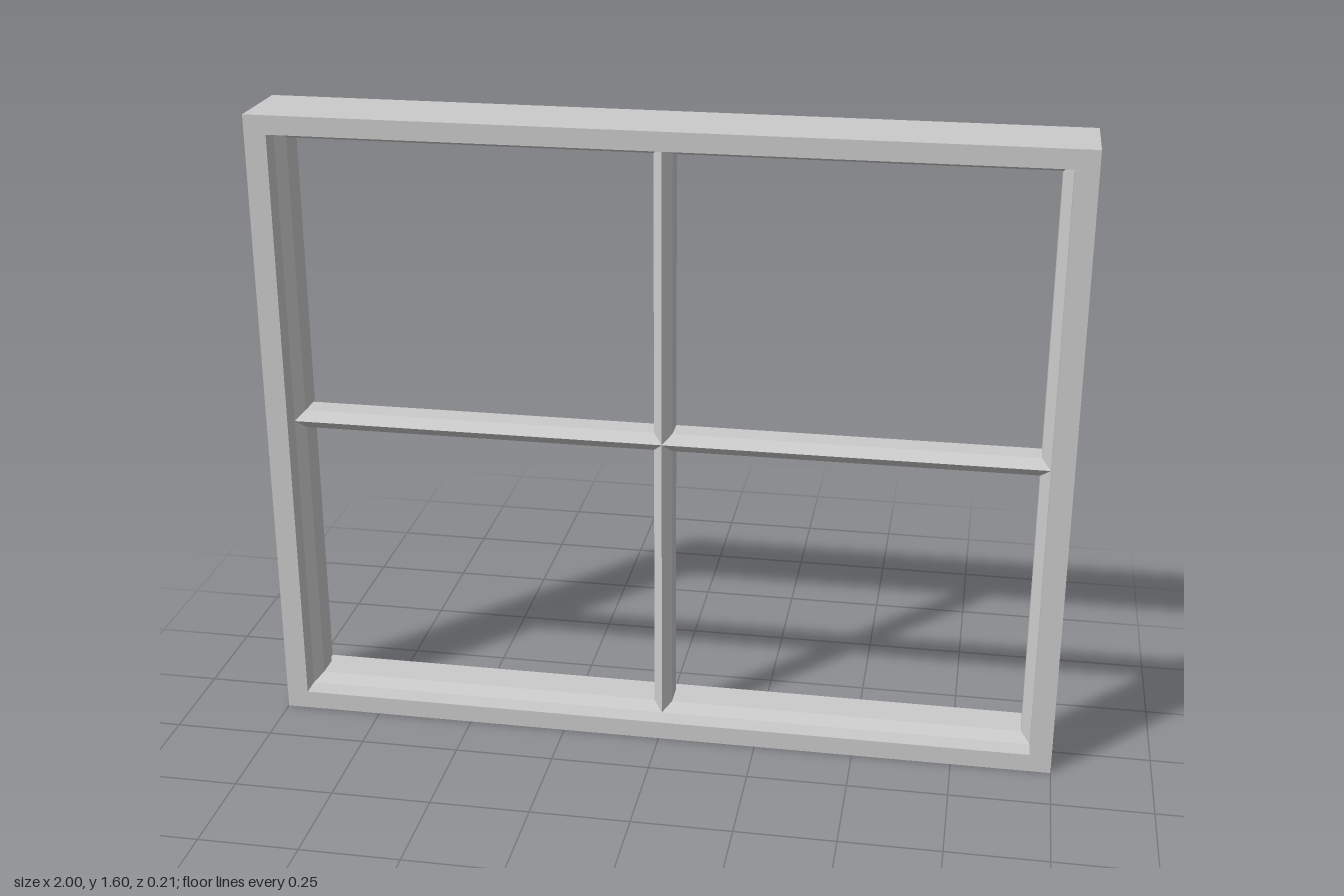
import * as THREE from 'three';

const W = 1, H = 0.8, D = 0.104;      // half width, half height, half depth
const TX = 0.055, TY = 0.047;         // frame thickness at the sides, top and bottom
const BEAD = 0.023;                   // half width of a glazing bar
const RIDGE = 0.052, SIDE = 0.03;     // z of the ridge and of the flat sides

const material = new THREE.MeshStandardMaterial({ color: 0xcccccc, flatShading: true });

// Sweeps an open profile of [x inset, y inset, z] round a mitred rectangle
function mitredRing(profile) {
  const corners = [[-1, -1], [1, -1], [1, 1], [-1, 1]];
  const at = (c, p) => [c[0] * (W - p[0]), H + c[1] * (H - p[1]), p[2]];
  const positions = [];
  for (let i = 0; i < 4; i++) {
    const c0 = corners[i], c1 = corners[(i + 1) % 4];
    for (let j = 0; j < profile.length - 1; j++) {
      const p = profile[j], q = profile[j + 1];
      const a = at(c0, p), b = at(c1, p), c = at(c1, q), d = at(c0, q);
      positions.push(...a, ...b, ...c, ...a, ...c, ...d);
    }
  }
  const geometry = new THREE.BufferGeometry();
  geometry.setAttribute('position', new THREE.Float32BufferAttribute(positions, 3));
  geometry.computeVertexNormals();
  return geometry;
}

// Six-sided bar with a ridge at front and back, running along y
function barGeometry(length) {
  const shape = new THREE.Shape([
    [0, RIDGE], [-BEAD, SIDE], [-BEAD, -SIDE], [0, -RIDGE], [BEAD, -SIDE], [BEAD, SIDE],
  ].map(([x, y]) => new THREE.Vector2(x, y)));
  const geometry = new THREE.ExtrudeGeometry(shape, { depth: length, bevelEnabled: false });
  geometry.translate(0, 0, -length / 2);
  geometry.rotateX(-Math.PI / 2);
  return geometry;
}

export function createModel() {
  const group = new THREE.Group();
  group.name = 'window';
  const add = (name, geometry) => {
    const mesh = new THREE.Mesh(geometry, material);
    mesh.name = name;
    group.add(mesh);
    return mesh;
  };

  // Deep outer frame
  add('outerFrame', mitredRing([
    [TX, TY, -D], [0, 0, -D], [0, 0, D], [TX, TY, D], [TX, TY, -D],
  ]));

  // Bevelled moulding round the inside of the frame
  add('innerMoulding', mitredRing([
    [TX, TY, RIDGE], [TX + BEAD, TY + BEAD, SIDE],
    [TX + BEAD, TY + BEAD, -SIDE], [TX, TY, -RIDGE],
  ]));

  // Crossing glazing bars
  add('verticalBar', barGeometry(2 * (H - TY))).position.y = H;
  const horizontal = add('horizontalBar', barGeometry(2 * (W - TX)));
  horizontal.rotation.z = Math.PI / 2;
  horizontal.position.y = H;

  return group;
}
